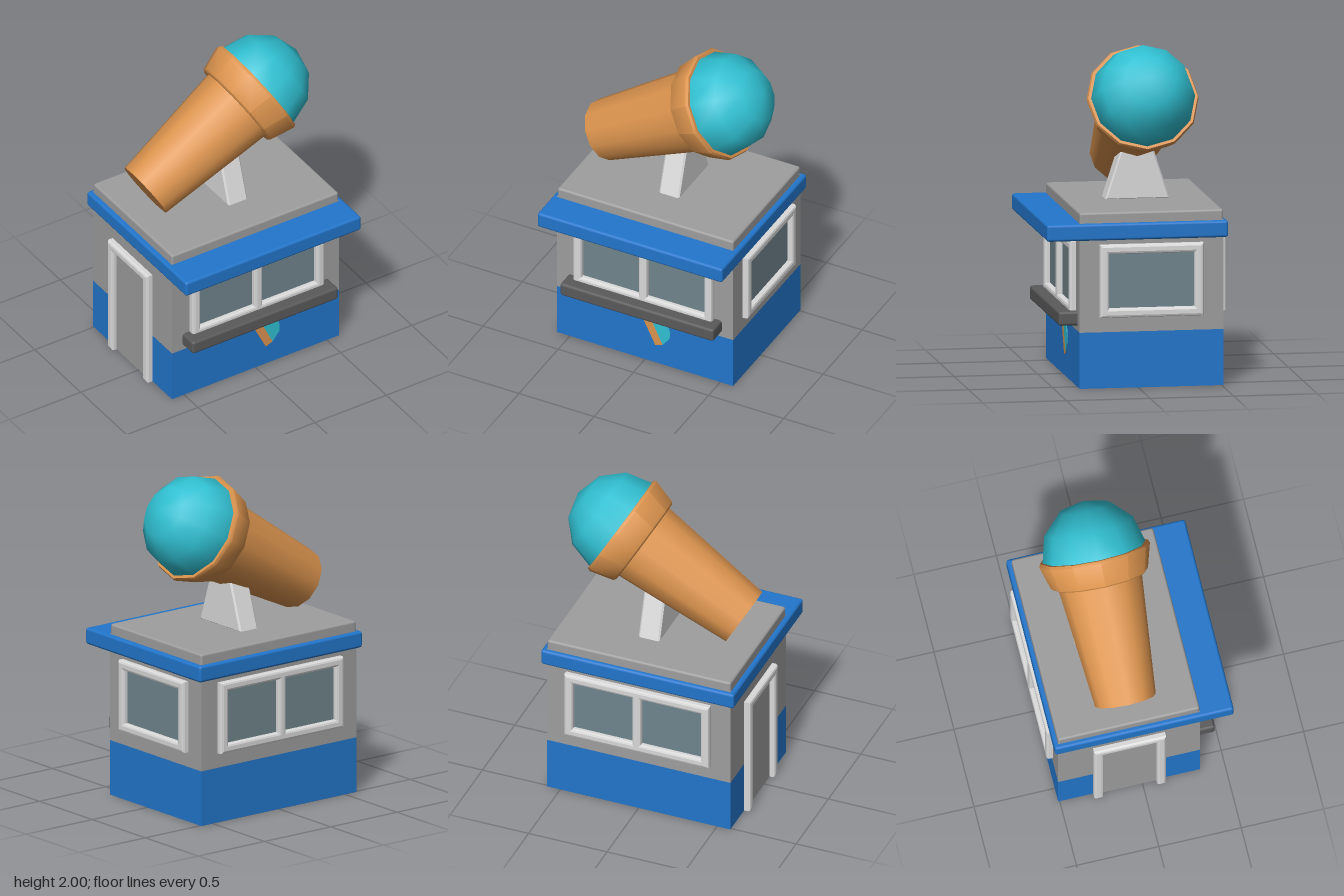
import * as THREE from 'three';
import { toCreasedNormals } from 'three/addons/utils/BufferGeometryUtils.js';
import { RoundedBoxGeometry } from 'three/addons/geometries/RoundedBoxGeometry.js';

const mat = (name, color, extra = {}) => Object.assign(new THREE.MeshStandardMaterial({ color, ...extra }), { name });
const MID_Z = -0.08;             // centre of the booth, front to back
const HALF_W = 0.585, HALF_D = 0.43;

export function createModel() {
  const both = { side: THREE.DoubleSide };
  const blue = mat('blue paint', 0x2276cc);
  const wallBlue = mat('blue wall', 0x2276cc, both);
  const wallGrey = mat('grey wall', 0x9e9e9e, both);
  const trim = mat('light trim', 0xdadada);
  const glass = mat('window glass', 0x70858d, both);
  const dark = mat('dark counter', 0x5a5a5a);
  const wafer = mat('wafer', 0xdc944e, both);
  const ice = mat('ice cream', 0x30c0d2, both);

  const model = new THREE.Group();
  model.name = 'iceCreamKiosk';

  const add = (name, geometry, material, x = 0, y = 0, z = 0, parent = model) => {
    const mesh = new THREE.Mesh(geometry, material);
    mesh.name = name;
    mesh.position.set(x, y, z);
    parent.add(mesh);
    return mesh;
  };

  // Box shell with some faces left out (2 = top, 3 = bottom)
  const shell = (w, h, d, skip) => {
    const g = new THREE.BoxGeometry(w, h, d);
    const idx = Array.from(g.index.array).filter((_, i) => !skip.includes(Math.floor(i / 6)));
    g.setIndex(idx);
    g.clearGroups();
    return g;
  };

  // Walls, open underneath
  add('lowerWalls', shell(HALF_W * 2, 0.335, HALF_D * 2, [2, 3]), wallBlue, 0, 0.1675, MID_Z);
  add('upperWalls', shell(HALF_W * 2, 0.655, HALF_D * 2, [3]), wallGrey, 0, 0.6625, MID_Z);

  // Roof slab, awning and counter
  add('roofSlab', new RoundedBoxGeometry(HALF_W * 2, 0.1, HALF_D * 2, 2, 0.014), wallGrey, 0, 1.0, MID_Z);
  add('awning', new RoundedBoxGeometry(1.23, 0.1, 1.085, 2, 0.016), blue, 0, 0.936, 0.0075);
  add('counter', new RoundedBoxGeometry(1.02, 0.085, 0.16, 2, 0.016), dark, 0, 0.408, 0.382);

  // Bevelled trim, straddling the wall plane
  const BEVEL = 0.015, BAR = 0.055;
  const extrudeTrim = (shape) => {
    const g = new THREE.ExtrudeGeometry(shape, {
      depth: 0.05, bevelEnabled: true, bevelSize: BEVEL, bevelOffset: -BEVEL, bevelThickness: BEVEL, bevelSegments: 2,
    });
    return g.translate(0, 0, -0.025);
  };
  const rect = (Type, x0, y0, x1, y1) => {
    const s = new Type();
    s.moveTo(x0, y0); s.lineTo(x1, y0); s.lineTo(x1, y1); s.lineTo(x0, y1); s.closePath();
    return s;
  };

  const mount = (name, x, y, z, turn) => {
    const g = new THREE.Group();
    g.name = name;
    g.position.set(x, y, z);
    g.rotation.y = turn;
    model.add(g);
    return g;
  };

  const addWindow = (name, w, h, panes, x, y, z, turn) => {
    const g = mount(name, x, y, z, turn);
    const shape = rect(THREE.Shape, -w / 2, -h / 2, w / 2, h / 2);
    const paneW = (w - BAR * (panes + 1)) / panes;
    for (let i = 0; i < panes; i++) {
      const x0 = -w / 2 + BAR + i * (paneW + BAR);
      shape.holes.push(rect(THREE.Path, x0, -h / 2 + BAR, x0 + paneW, h / 2 - BAR));
    }
    add('windowFrame', extrudeTrim(shape), trim, 0, 0, 0, g);
    add('windowGlass', new THREE.BoxGeometry(w - BAR, h - BAR, 0.009), glass, 0, 0, 0.002, g);
  };

  addWindow('frontWindow', 0.925, 0.435, 2, 0, 0.642, MID_Z + HALF_D, 0);
  addWindow('backWindow', 0.925, 0.435, 2, 0, 0.642, MID_Z - HALF_D, Math.PI);
  addWindow('leftWindow', 0.62, 0.435, 1, HALF_W, 0.642, -0.077, Math.PI / 2);

  // Door on the right side
  const door = mount('door', -HALF_W, 0, MID_Z, -Math.PI / 2);
  const dw = 0.218, dh = 0.78;
  const arch = new THREE.Shape([
    [-dw, 0], [-dw + BAR, 0], [-dw + BAR, dh - BAR], [dw - BAR, dh - BAR],
    [dw - BAR, 0], [dw, 0], [dw, dh], [-dw, dh],
  ].map(([x, y]) => new THREE.Vector2(x, y)));
  add('doorFrame', extrudeTrim(arch), trim, 0, 0, 0, door);
  add('doorPanel', new THREE.BoxGeometry(dw * 2 - BAR, dh - BAR / 2, 0.009), wallGrey, 0, (dh - BAR / 2) / 2, 0.002, door);

  // Painted cone sign under the counter
  const plate = (name, pts, material) => {
    const s = new THREE.Shape(pts.map(([x, y]) => new THREE.Vector2(x, y)));
    add(name, new THREE.ExtrudeGeometry(s, { depth: 0.004, bevelEnabled: false }), material, 0, 0, MID_Z + HALF_D);
  };
  plate('signCone', [[-0.018, 0.307], [0.07, 0.127], [0.118, 0.145], [0.03, 0.33]], wafer);
  plate('signScoop', [[0.03, 0.33], [0.118, 0.145], [0.165, 0.205], [0.168, 0.245], [0.152, 0.305], [0.085, 0.345]], ice);

  // Tapered post carrying the big cone
  const post = new THREE.Shape([[-0.193, 0], [0.193, 0], [0.077, 0.36], [-0.077, 0.36]]
    .map(([x, y]) => new THREE.Vector2(x, y)));
  const postGeo = new THREE.ExtrudeGeometry(post, {
    depth: 0.115, bevelEnabled: true, bevelSize: 0.01, bevelOffset: -0.01, bevelThickness: 0.01, bevelSegments: 1,
  }).translate(0, 0, -0.0575);
  add('signPost', postGeo, trim, 0.033, 1.045, MID_Z).rotation.y = Math.PI / 2;

  // Giant tilted ice cream cone
  const cone = new THREE.Group();
  cone.name = 'giantCone';
  cone.position.set(-0.495, 1.23, MID_Z);
  cone.rotation.z = -Math.PI / 3;
  model.add(cone);
  add('coneBody', new THREE.CylinderGeometry(0.255, 0.184, 0.76, 12), wafer, 0, 0.38, 0, cone);
  const rim = [[0.2, 0.736], [0.28, 0.736], [0.294, 0.746], [0.336, 0.89], [0.328, 0.908], [0.305, 0.908], [0.29, 0.86]]
    .map(([r, y]) => new THREE.Vector2(r, y));
  add('coneRim', toCreasedNormals(new THREE.LatheGeometry(rim, 12), 0.7), wafer, 0, 0, 0, cone);
  add('scoop', new THREE.SphereGeometry(0.311, 12, 6), ice, 0, 0.91, 0, cone);

  return model;
}
